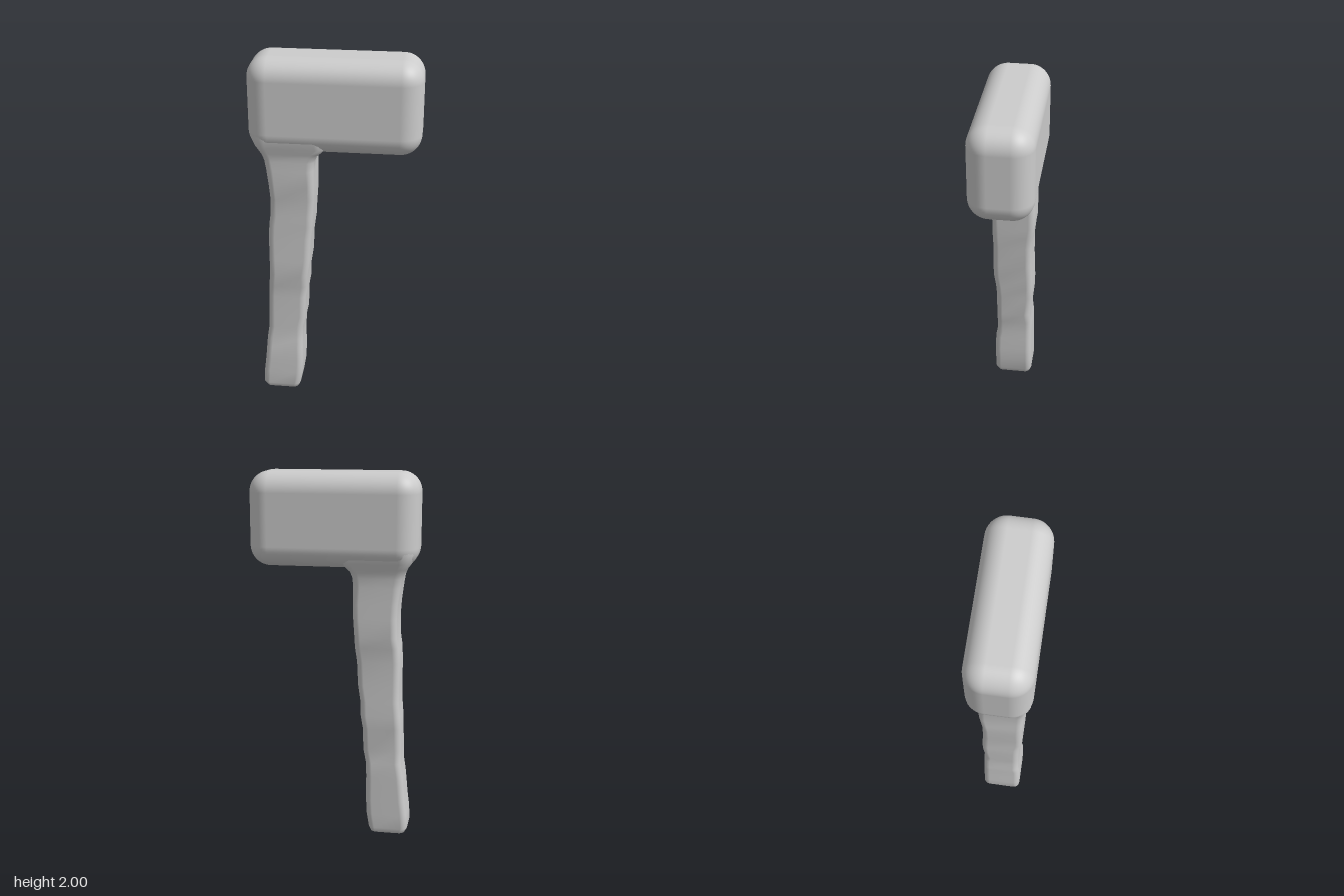
import * as THREE from 'three';
import { RoundedBoxGeometry } from 'three/addons/geometries/RoundedBoxGeometry.js';

// Skin rounded-rectangle sections [y, left x, right x, back z, front z, corner radius]
function loft(sections, arc = 5) {
  const pos = [], idx = [], n = 4 * (arc + 1);
  for (const [y, x0, x1, z0, z1, r] of sections) {
    for (let c = 0; c < 4; c++) {
      const cx = c === 0 || c === 3 ? x1 - r : x0 + r;
      const cz = c < 2 ? z1 - r : z0 + r;
      for (let i = 0; i <= arc; i++) {
        const a = (c + i / arc) * Math.PI / 2;
        pos.push(cx + r * Math.cos(a), y, cz + r * Math.sin(a));
      }
    }
  }
  for (let s = 0; s < sections.length - 1; s++) {
    for (let i = 0; i < n; i++) {
      const a = s * n + i, b = s * n + (i + 1) % n;
      idx.push(a, a + n, b, b, a + n, b + n);
    }
  }
  // bottom cap
  const [y, x0, x1, z0, z1] = sections[0];
  const centre = pos.length / 3;
  pos.push((x0 + x1) / 2, y, (z0 + z1) / 2);
  for (let i = 0; i < n; i++) idx.push(centre, i, (i + 1) % n);
  const g = new THREE.BufferGeometry();
  g.setAttribute('position', new THREE.Float32BufferAttribute(pos, 3));
  g.setIndex(idx);
  g.computeVertexNormals();
  return g;
}

export function createModel() {
  const model = new THREE.Group();
  model.name = 'mallet';
  const grey = new THREE.MeshStandardMaterial({ color: 0xcccccc });
  grey.name = 'light grey';

  // Block-shaped head with soft edges
  const head = new THREE.Mesh(new RoundedBoxGeometry(0.9, 0.5, 0.335, 8, 0.11), grey);
  head.name = 'head';
  head.position.set(0, 1.75, 0);
  model.add(head);

  // Rough-hewn, slightly slanted handle that flares into the head
  const handle = new THREE.Mesh(loft([
    [0.00, -0.375, -0.24, -0.065, 0.08, 0.02],
    [0.012, -0.40, -0.212, -0.09, 0.105, 0.03],
    [0.04, -0.415, -0.20, -0.10, 0.118, 0.035],
    [0.12, -0.41, -0.187, -0.10, 0.118, 0.035],
    [0.20, -0.40, -0.183, -0.10, 0.118, 0.035],
    [0.29, -0.392, -0.183, -0.10, 0.115, 0.035],
    [0.34, -0.388, -0.183, -0.10, 0.106, 0.035],
    [0.42, -0.376, -0.18, -0.10, 0.105, 0.035],
    [0.49, -0.375, -0.165, -0.092, 0.105, 0.035],
    [0.62, -0.372, -0.162, -0.105, 0.105, 0.035],
    [0.69, -0.368, -0.15, -0.105, 0.108, 0.035],
    [0.77, -0.36, -0.148, -0.103, 0.12, 0.035],
    [0.86, -0.36, -0.134, -0.10, 0.12, 0.035],
    [0.99, -0.36, -0.128, -0.10, 0.118, 0.035],
    [1.07, -0.355, -0.117, -0.108, 0.12, 0.035],
    [1.13, -0.346, -0.115, -0.117, 0.12, 0.035],
    [1.23, -0.344, -0.108, -0.117, 0.122, 0.035],
    [1.31, -0.348, -0.106, -0.115, 0.135, 0.035],
    [1.40, -0.36, -0.106, -0.115, 0.135, 0.04],
    [1.45, -0.368, -0.102, -0.118, 0.136, 0.04],
    [1.48, -0.38, -0.09, -0.125, 0.138, 0.045],
    [1.50, -0.393, -0.068, -0.132, 0.143, 0.05],
    [1.53, -0.415, -0.035, -0.143, 0.15, 0.06],
    [1.58, -0.438, -0.02, -0.160, 0.162, 0.08],
    [1.65, -0.447, -0.02, -0.165, 0.165, 0.11],
  ]), grey);
  handle.name = 'handle';
  model.add(handle);

  return model;
}
